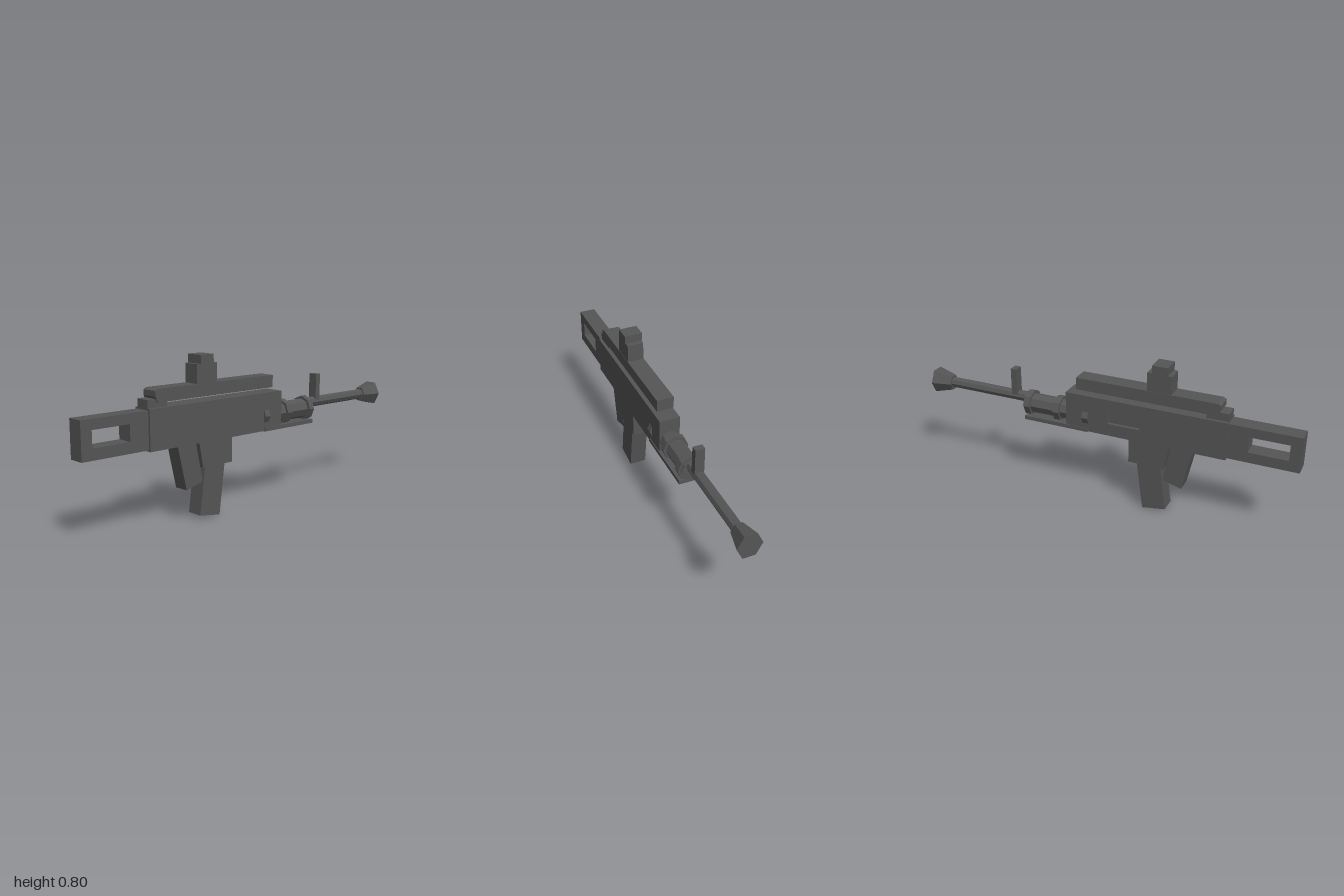
import * as THREE from 'three';

export function createModel() {
  const model = new THREE.Group();
  const material = new THREE.MeshStandardMaterial({ color: 0x555555, flatShading: true });

  const add = (name, geometry) => {
    const mesh = new THREE.Mesh(geometry, material);
    mesh.name = name;
    model.add(mesh);
    return mesh;
  };

  // Box given by its limits
  const box = (name, x0, x1, y0, y1, z0, z1) =>
    add(name, new THREE.BoxGeometry(x1 - x0, y1 - y0, z1 - z0))
      .position.set((x0 + x1) / 2, (y0 + y1) / 2, (z0 + z1) / 2);

  const points = (list) => list.map(([x, y]) => new THREE.Vector2(x, y));
  const rect = (x0, x1, y0, y1) => [[x0, y0], [x1, y0], [x1, y1], [x0, y1]];

  // Side outline, optionally pierced, extruded between two z values
  const plate = (name, outline, z0, z1, hole) => {
    const shape = new THREE.Shape(points(outline));
    if (hole) shape.holes.push(new THREE.Path(points(hole)));
    const geometry = new THREE.ExtrudeGeometry(shape, { depth: z1 - z0, bevelEnabled: false });
    add(name, geometry.translate(0, 0, z0));
  };

  // Faceted tube along x, a corner pointing to each side
  const rod = (name, x0, x1, r0, r1, y, sides) => {
    const geometry = new THREE.CylinderGeometry(r1, r0, x1 - x0, sides);
    geometry.rotateZ(-Math.PI / 2).translate((x0 + x1) / 2, y, 0);
    return add(name, geometry);
  };

  // Open-frame stock
  plate('stock', rect(-1, -0.65, 0.387, 0.568), -0.042, 0.042, rect(-0.945, -0.75, 0.44, 0.52));

  // Receiver, with a shallow port sunk into its far side
  box('receiver', -0.65, 0.19, 0.38, 0.575, -0.035, 0.053);
  plate('receiverPortSide', rect(-0.65, 0.19, 0.38, 0.575), -0.053, -0.035, rect(-0.21, -0.04, 0.445, 0.525));

  // Top rail and its rear support
  box('railSupport', -0.65, -0.54, 0.575, 0.615, -0.037, 0.037);
  plate('topRail', [[-0.61, 0.625], [-0.595, 0.598], [0.135, 0.598], [0.135, 0.66], [-0.595, 0.66], [-0.61, 0.652]], -0.044, 0.044);

  // Rear sight
  box('rearSightBase', -0.365, -0.24, 0.66, 0.753, -0.042, 0.042);
  box('rearSightCap', -0.345, -0.265, 0.753, 0.795, -0.047, 0.047);

  // Grip, magazine and its well
  plate('grip', [[-0.485, 0.385], [-0.435, 0.16], [-0.335, 0.187], [-0.375, 0.385]], -0.04, 0.04);
  plate('magazineWell', [[-0.365, 0.385], [-0.342, 0.257], [-0.155, 0.257], [-0.155, 0.385]], -0.053, 0.053);
  plate('magazine', [[-0.32, 0.27], [-0.355, 0.02], [-0.232, 0], [-0.195, 0.27]], -0.043, 0.043);

  // Fore end: lower plate, sleeve and rings, one ring half sunk in the receiver
  box('foreEndPlate', 0.07, 0.43, 0.377, 0.397, -0.057, 0.057);
  rod('sleeve', 0.15, 0.44, 0.052, 0.052, 0.455, 8);
  for (const x of [0.066, 0.23, 0.397]) rod('sleeveRing', x, x + 0.033, 0.066, 0.066, 0.455, 8);

  // Barrel, front sight and flared muzzle
  rod('barrel', 0.43, 0.91, 0.028, 0.028, 0.48, 8);
  box('frontSight', 0.488, 0.52, 0.49, 0.632, -0.024, 0.024);
  const muzzle = rod('muzzle', 0.895, 1, 0.037, 0.062, 0, 6);
  muzzle.scale.y = 1.14;
  muzzle.position.y = 0.478;

  return model;
}
